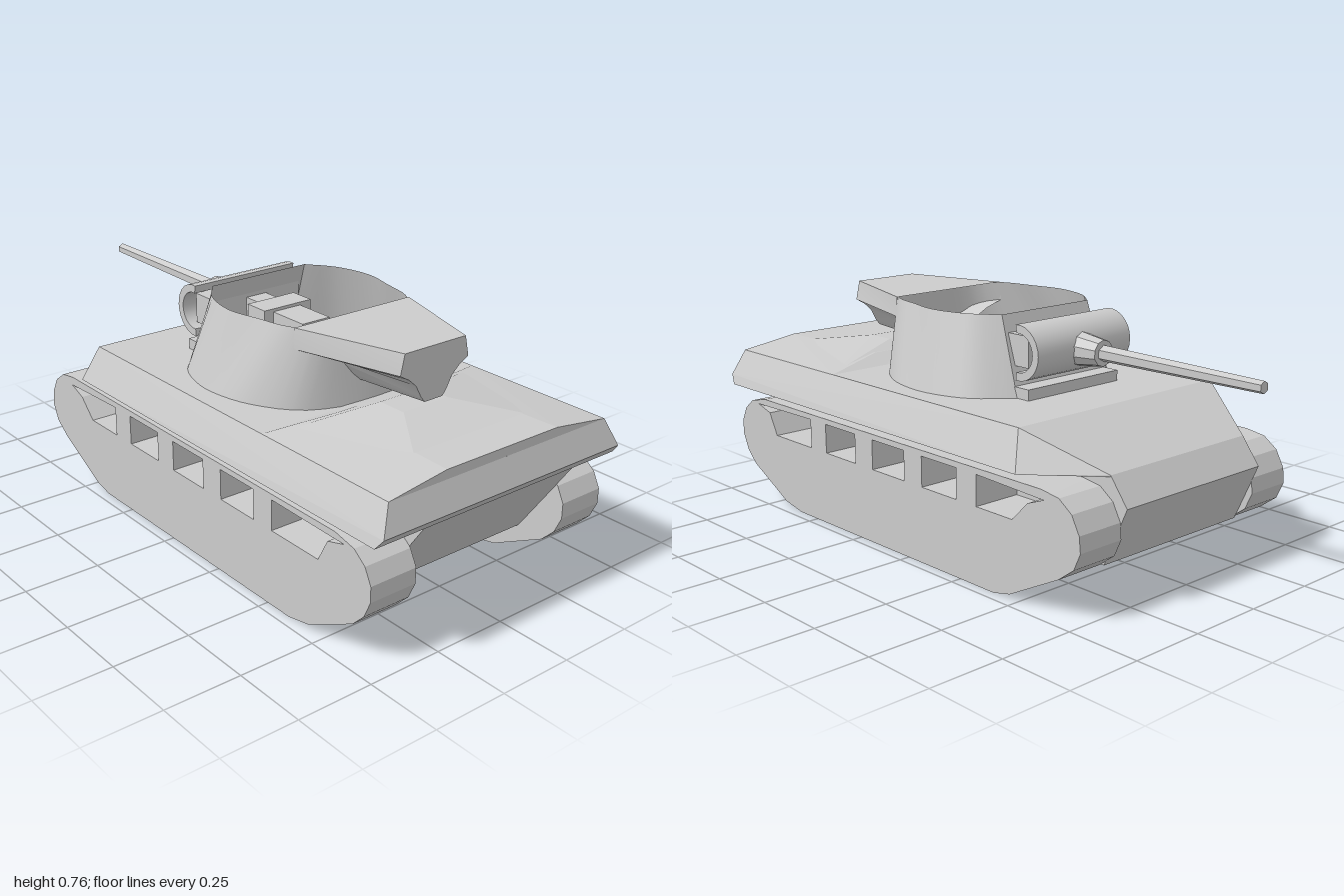
import * as THREE from 'three';
import { ConvexGeometry } from 'three/addons/geometries/ConvexGeometry.js';
import { toCreasedNormals } from 'three/addons/utils/BufferGeometryUtils.js';

const grey = new THREE.MeshStandardMaterial({ color: 0xcccccc });
const greyThin = new THREE.MeshStandardMaterial({ color: 0xcccccc, side: THREE.DoubleSide });

function add(parent, name, geometry, material = grey) {
  const mesh = new THREE.Mesh(geometry, material);
  mesh.name = name;
  parent.add(mesh);
  return mesh;
}

function box(parent, name, x0, x1, y0, y1, z0, z1) {
  const mesh = add(parent, name, new THREE.BoxGeometry(x1 - x0, y1 - y0, z1 - z0));
  mesh.position.set((x0 + x1) / 2, (y0 + y1) / 2, (z0 + z1) / 2);
  return mesh;
}

// Convex solid from corner points mirrored across x = 0
const mirroredSolid = (corners) => new ConvexGeometry(corners.flatMap(
  ([x, y, z]) => [new THREE.Vector3(x, y, z), new THREE.Vector3(-x, y, z)]));

const outline = (points) => points.map(([z, y]) => new THREE.Vector2(z, y));

// Side profile of [z, y] points, extruded across x from x0 to x1
function sideExtrude(points, x0, x1, holes = []) {
  const shape = new THREE.Shape(outline(points));
  shape.holes = holes.map((h) => new THREE.Path(outline(h)));
  const geometry = new THREE.ExtrudeGeometry(shape, { depth: x1 - x0, bevelEnabled: false });
  return geometry.rotateY(-Math.PI / 2).applyMatrix4(new THREE.Matrix4().makeTranslation(x1, 0, 0));
}

// Surface between two equal-length rows of points
function strip(lower, upper) {
  const n = lower.length, index = [];
  for (let i = 0; i < n - 1; i++) index.push(i, n + i, i + 1, i + 1, n + i, n + i + 1);
  const geometry = new THREE.BufferGeometry().setFromPoints([...lower, ...upper]);
  geometry.setIndex(index);
  return toCreasedNormals(geometry, 0.5);
}

// Half a plan outline of [x, z] points, smoothed and mirrored at height y
function planCurve(half, y) {
  const full = [...half, ...half.slice(0, -1).reverse().map(([x, z]) => [-x, z])];
  return new THREE.CatmullRomCurve3(full.map(([x, z]) => new THREE.Vector3(x, y, z))).getPoints(48);
}

function buildHull() {
  const hull = new THREE.Group();
  hull.name = 'hull';
  add(hull, 'lowerHull', sideExtrude([[-0.71, 0.4], [-0.775, 0.315], [-0.69, 0.125],
    [0.785, 0.125], [0.975, 0.397]], -0.3, 0.3));
  add(hull, 'upperHull', mirroredSolid([[0.43, 0.515, -0.47], [0.48, 0.395, -0.51],
    [0.3, 0.4, -0.71], [0.3, 0.395, -0.71], [0.48, 0.395, 0.975], [0.47, 0.427, 1], [0.43, 0.515, 0.97]]));
  // Sloped engine deck with a raised hump
  add(hull, 'engineDeck', mirroredSolid([[0.43, 0.515, 0.97], [0.43, 0.515, 0.43],
    [0.22, 0.545, 0.97], [0.2, 0.545, 0.5]]));
  add(hull, 'engineHump', mirroredSolid([[0.22, 0.545, 0.84], [0.09, 0.569, 0.66],
    [0.09, 0.569, 0.56], [0.1, 0.515, 0.42], [0.41, 0.515, 0.45]]));
  return hull;
}

function buildTracks() {
  const tracks = new THREE.Group();
  tracks.name = 'tracks';
  const profile = [[0.6, 0], [0.69, 0.018], [0.88, 0.115], [0.925, 0.16], [0.95, 0.215], [0.95, 0.265],
    [0.925, 0.315], [0.88, 0.35], [0.8, 0.368], [-0.6, 0.37], [-0.67, 0.36], [-0.72, 0.325],
    [-0.75, 0.27], [-0.755, 0.22], [-0.73, 0.165], [-0.67, 0.12], [-0.47, 0.016], [-0.4, 0]];
  const holes = [
    [[0.84, 0.345], [0.77, 0.325], [0.73, 0.25], [0.52, 0.25], [0.52, 0.35]],
    ...[0.27, 0.015, -0.235].map((z) => [[z, 0.25], [z, 0.35], [z + 0.163, 0.35], [z + 0.163, 0.25]]),
    [[-0.325, 0.35], [-0.325, 0.25], [-0.48, 0.25], [-0.545, 0.315], [-0.61, 0.34]],
  ];
  for (const [name, x0, x1] of [['leftTrack', 0.3, 0.465], ['rightTrack', -0.465, -0.3]]) {
    add(tracks, name, toCreasedNormals(sideExtrude(profile, x0, x1, holes), 0.3));
  }
  return tracks;
}

function buildTurret() {
  const turret = new THREE.Group();
  turret.name = 'turret';
  // Open-topped wall leaning inwards, with a flat sloping front
  const base = planCurve([[0.2, -0.22], [0.31, -0.12], [0.355, 0], [0.36, 0.1],
    [0.325, 0.24], [0.22, 0.38], [0, 0.44]], 0.515);
  const rim = planCurve([[0.19, -0.14], [0.255, -0.05], [0.285, 0.08], [0.262, 0.2],
    [0.235, 0.31], [0.17, 0.39], [0, 0.41]], 0.765);
  add(turret, 'turretWall', strip(base, rim), greyThin);
  add(turret, 'turretFront', strip([base[48], base[0]], [rim[48], rim[0]]), greyThin);
  box(turret, 'frontSill', -0.2, 0.2, 0.515, 0.55, -0.27, -0.2);

  // Tapering rear counterweight with a curved underside
  const section = (half, z) => [...half, ...half.map(([x, y]) => [-x, y]).reverse()]
    .map(([x, y]) => new THREE.Vector3(x, y, z));
  const near = section([[0.23, 0.765], [0.235, 0.7], [0.17, 0.68], [0.12, 0.655], [0.085, 0.61], [0.06, 0.585]], 0.33);
  const far = section([[0.12, 0.765], [0.135, 0.7], [0.1, 0.68], [0.072, 0.655], [0.05, 0.615], [0.035, 0.597]], 0.688);
  add(turret, 'counterweight', strip([...near, near[0]], [...far, far[0]]), greyThin);
  const end = new THREE.ShapeGeometry(new THREE.Shape(far.map((p) => new THREE.Vector2(p.x, p.y))));
  add(turret, 'counterweightEnd', end.translate(0, 0, 0.688), greyThin);
  return turret;
}

function buildGun() {
  const gun = new THREE.Group();
  gun.name = 'gun';
  // Curved shield across the front of the turret
  const arc = (r, from, to) => Array.from({ length: 15 }, (_, i) => {
    const a = from + (to - from) * i / 14;
    return [-0.23 - r * Math.cos(a), 0.66 + r * Math.sin(a)];
  });
  const shield = sideExtrude([...arc(0.088, -1.7, 1.7), ...arc(0.062, 1.7, -1.7)], -0.205, 0.205);
  add(gun, 'mantlet', toCreasedNormals(shield, 0.5));
  box(gun, 'gunCradle', -0.18, 0.18, 0.61, 0.71, -0.25, -0.16);

  const tube = (name, rFront, rBack, z0, z1, sides) => {
    const geometry = new THREE.CylinderGeometry(rBack, rFront, z1 - z0, sides);
    const mesh = add(gun, name, toCreasedNormals(geometry.rotateX(Math.PI / 2), 0.6));
    mesh.position.set(0, 0.655, (z0 + z1) / 2);
  };
  tube('barrelCollar', 0.042, 0.055, -0.395, -0.3, 10);
  tube('barrel', 0.019, 0.026, -1, -0.38, 6);

  // Breech inside the turret
  box(gun, 'breechMount', -0.095, 0.095, 0.58, 0.7, -0.08, 0.01);
  box(gun, 'breech', -0.06, 0.05, 0.59, 0.69, 0.01, 0.16);
  box(gun, 'recoilSlide', -0.04, 0.04, 0.61, 0.69, -0.17, -0.08);
  return gun;
}

export function createModel() {
  const model = new THREE.Group();
  model.name = 'tank';
  model.add(buildHull(), buildTracks(), buildTurret(), buildGun());
  return model;
}
